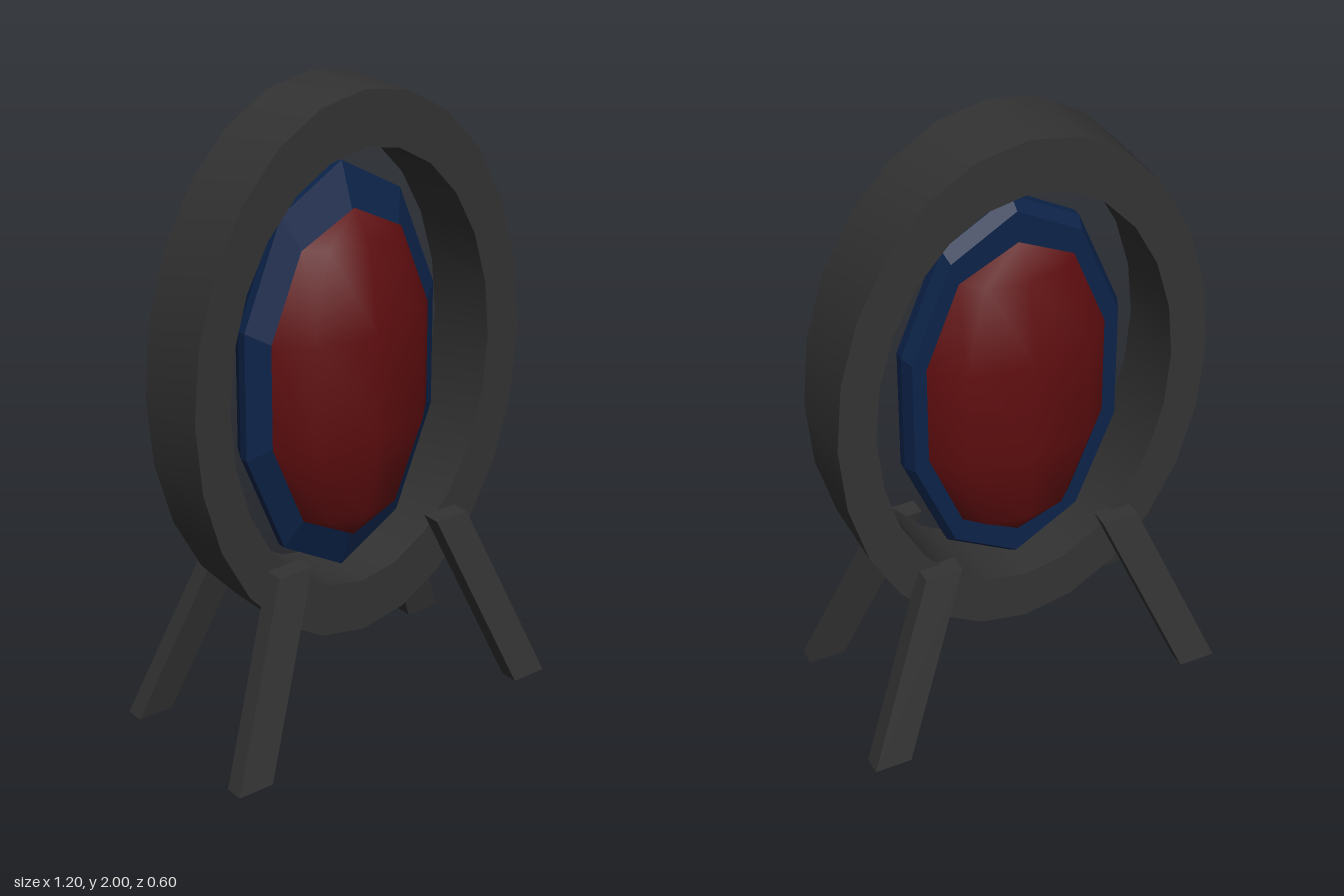
import * as THREE from 'three';
import { toCreasedNormals } from 'three/addons/utils/BufferGeometryUtils.js';

const CENTRE_Y = 1.114;

export function createModel() {
  const model = new THREE.Group();
  const grey = new THREE.MeshStandardMaterial({ name: 'dark grey', color: 0x333333 });
  const blue = new THREE.MeshStandardMaterial({ name: 'navy blue', color: 0x0c2348 });
  const red = new THREE.MeshStandardMaterial({ name: 'dark red', color: 0x5e0d0f });

  const add = (name, geometry, material, y = 0) => {
    const mesh = new THREE.Mesh(geometry, material);
    mesh.name = name;
    mesh.position.y = y;
    model.add(mesh);
    return mesh;
  };

  // Oval outer frame, 24-sided
  const oval = (rx, ry) => Array.from({ length: 24 }, (_, i) => {
    const a = (i / 24) * Math.PI * 2;
    return new THREE.Vector2(rx * Math.cos(a), ry * Math.sin(a));
  });
  const frameShape = new THREE.Shape(oval(0.6, 0.86));
  frameShape.holes.push(new THREE.Path(oval(0.48, 0.69)));
  const frame = new THREE.ExtrudeGeometry(frameShape, { depth: 0.252, bevelEnabled: false });
  frame.translate(0, 0, -0.132);
  add('outerFrame', toCreasedNormals(frame, 0.6), grey, 1.14);

  // Ten-sided bezel; profile is radius and depth towards the back
  const profile = [[0.79, -0.06], [1, -0.01], [1, 0.02], [0.95, 0.06], [0.79, 0.06], [0.79, -0.06]];
  const bezel = new THREE.LatheGeometry(profile.map(([r, d]) => new THREE.Vector2(r, d)), 10);
  bezel.rotateX(-Math.PI / 2);
  bezel.scale(0.368, 0.653, 1);
  add('bezel', toCreasedNormals(bezel, 0.1), blue, CENTRE_Y);

  // Bulging lens on each face, built from rows of five points
  const rows = [
    { y: 0.525, x: [0, 0], z: [0.07, 0.07, 0.07] },
    { y: 0.43, x: [0.125, 0.182], z: [0.14, 0.115, 0.06] },
    { y: 0.165, x: [0.2, 0.29], z: [0.185, 0.15, 0.058] },
  ];
  const allRows = [...rows, ...rows.map((r) => ({ ...r, y: -r.y })).reverse()];
  const lens = (side) => {
    const points = [];
    const index = [];
    for (const { y, x, z } of allRows) {
      for (let i = -2; i <= 2; i++) {
        const k = Math.abs(i);
        points.push(side * Math.sign(i) * (k ? x[k - 1] : 0), y, side * z[k]);
      }
    }
    for (let r = 0; r < allRows.length - 1; r++) {
      for (let c = 0; c < 4; c++) {
        const a = r * 5 + c;
        if (r < allRows.length - 2) index.push(a, a + 5, a + 6);
        if (r > 0) index.push(a, a + 6, a + 1);
        if (r === allRows.length - 2) index.push(a, a + 5, a + 1);
      }
    }
    // The last row is a single tip, so its fan replaces the quads
    const last = index.slice(0, -24);
    const base = (allRows.length - 2) * 5;
    for (let c = 0; c < 4; c++) last.push(base + c, base + 5, base + c + 1);
    const geometry = new THREE.BufferGeometry();
    geometry.setAttribute('position', new THREE.Float32BufferAttribute(points, 3));
    geometry.setIndex(last);
    geometry.computeVertexNormals();
    return toCreasedNormals(geometry, 1.1);
  };
  add('frontLens', lens(1), red, CENTRE_Y);
  add('backLens', lens(-1), red, CENTRE_Y);

  // Four splayed legs: upright boxes sheared outwards towards the floor
  for (const sx of [1, -1]) {
    for (const sz of [1, -1]) {
      const leg = new THREE.BoxGeometry(0.12, 0.6, 0.06);
      leg.translate(0, 0.3, 0);
      const p = leg.attributes.position;
      for (let i = 0; i < p.count; i++) {
        const t = 1 - p.getY(i) / 0.6;
        p.setX(i, p.getX(i) + sx * (0.3 + 0.24 * t));
        p.setZ(i, p.getZ(i) + sz * (0.15 + 0.12 * t));
      }
      leg.computeVertexNormals();
      add(`${sz > 0 ? 'front' : 'back'}${sx > 0 ? 'Left' : 'Right'}Leg`, leg, grey);
    }
  }
  return model;
}
